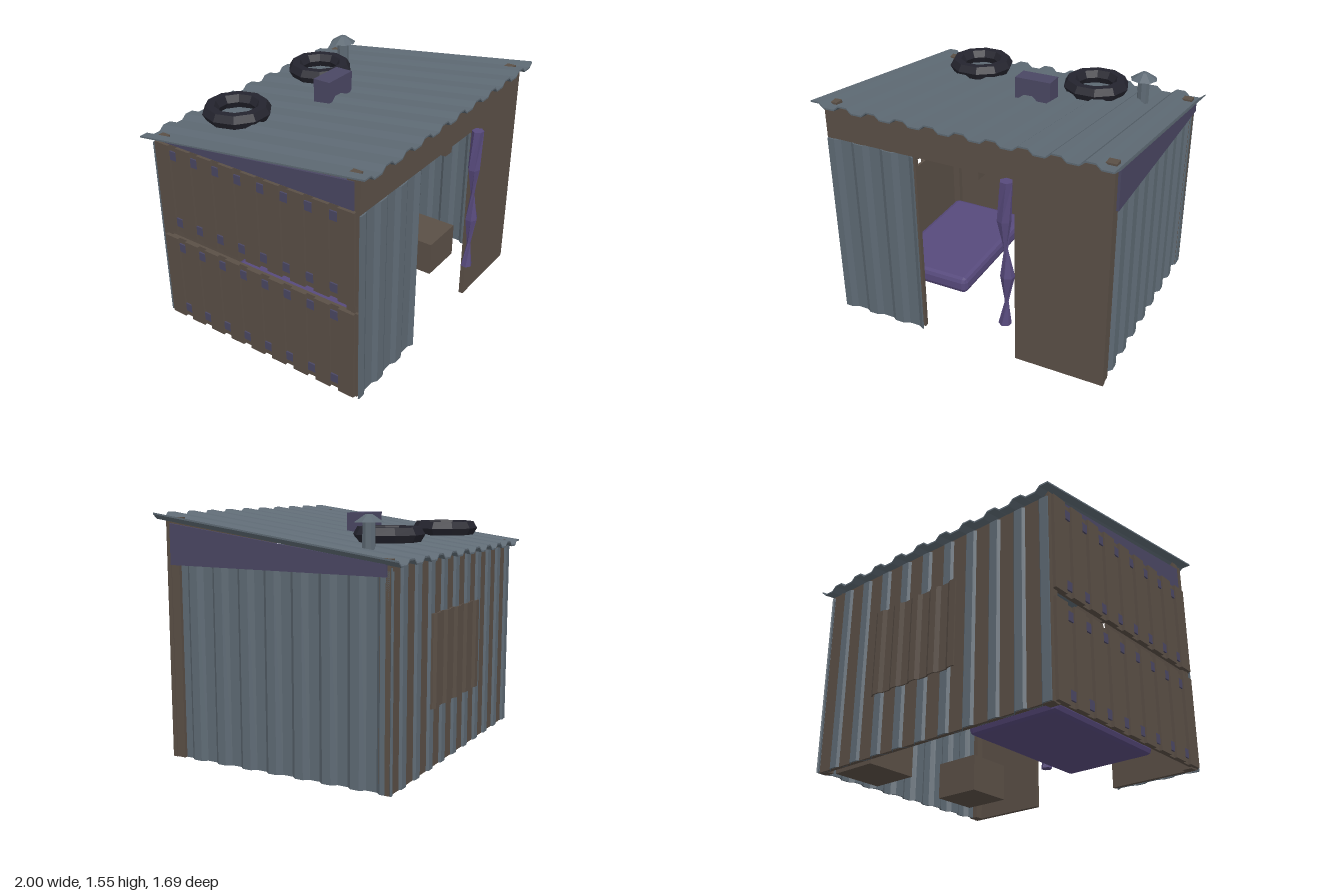
import * as THREE from 'three';
import { RoundedBoxGeometry } from 'three/addons/geometries/RoundedBoxGeometry.js';

const mat = (name, color) => {
  const m = new THREE.MeshStandardMaterial({ color });
  m.name = name;
  return m;
};

// Flat facets for the low-poly look
const faceted = (geo) => {
  const g = geo.index ? geo.toNonIndexed() : geo;
  g.computeVertexNormals();
  return g;
};

// Corrugated sheet: rib profile across x, ribs rising in +y, extruded along z
function corrugated(width, length, depth, period, phase, thick = 0.01) {
  const height = (x) => {
    const u = ((((x - phase) / period) % 1) + 1) % 1;
    if (u < 0.3) return depth;
    if (u < 0.46) return depth * (0.46 - u) / 0.16;
    if (u < 0.82) return 0;
    return depth * (u - 0.82) / 0.18;
  };
  const half = width / 2;
  const xs = [-half];
  for (let k = Math.floor((-half - phase) / period); k * period + phase < half; k++) {
    for (const u of [0, 0.3, 0.46, 0.82]) {
      const x = phase + (k + u) * period;
      if (x > -half + 0.001 && x < half - 0.001) xs.push(x);
    }
  }
  xs.push(half);
  const top = xs.map((x) => new THREE.Vector2(x, height(x)));
  const under = top.map((p) => new THREE.Vector2(p.x, p.y - thick)).reverse();
  return new THREE.ExtrudeGeometry(new THREE.Shape([...top, ...under]), { depth: length, bevelEnabled: false });
}

// Same sheet standing upright, ribs facing -z
const wallSheet = (...args) => corrugated(...args).rotateX(-Math.PI / 2);

export function createModel() {
  const steel = mat('steel', 0x5e6a74);
  const wood = mat('wood', 0x5a4f46);
  const slate = mat('slate', 0x4a4763);
  const fabric = mat('purple fabric', 0x574a7c);
  const rubber = mat('rubber', 0x24242e);

  const root = new THREE.Group();
  root.name = 'shack';
  const add = (name, geo, material, x = 0, y = 0, z = 0) => {
    const m = new THREE.Mesh(geo, material);
    m.name = name;
    m.position.set(x, y, z);
    root.add(m);
    return m;
  };
  // Box given by its limits
  const box = (name, material, x0, x1, y0, y1, z0, z1) =>
    add(name, new THREE.BoxGeometry(x1 - x0, y1 - y0, z1 - z0), material,
      (x0 + x1) / 2, (y0 + y1) / 2, (z0 + z1) / 2);

  // Sloping roof: sheet sheared upward towards the front
  const slope = 0.135;
  const roof = corrugated(2, 1.67, 0.03, 0.2, -1).translate(0, 0, -0.84);
  const p = roof.attributes.position;
  for (let i = 0; i < p.count; i++) p.setY(i, p.getY(i) + 1.408 + slope * p.getZ(i));
  add('roof', faceted(roof), steel);

  // Corner posts poking through the roof
  for (const s of [-1, 1]) {
    const x0 = s > 0 ? 0.88 : -0.945;
    box('frontPost', wood, x0, x0 + 0.065, 0, 1.52, 0.68, 0.74);
    box('backPost', wood, x0, x0 + 0.065, 0, 1.325, -0.76, -0.7);
  }

  // Front wall around the doorway
  box('frontPanelRight', wood, 0.35, 0.95, 0, 1.29, 0.74, 0.77);
  box('frontPanelLeft', wood, -0.95, -0.33, 0, 1.29, 0.715, 0.742);
  box('lintel', wood, -0.95, 0.95, 1.29, 1.505, 0.74, 0.77);
  add('frontSheet', wallSheet(0.62, 1.285, 0.02, 0.21, 0.051).rotateY(Math.PI), steel, -0.64, 0, 0.756);
  box('roofBeam', wood, 0.025, 0.1, 1.22, 1.29, -0.74, 0.74);

  // Right wall
  add('rightWall', wallSheet(1.47, 1.26, 0.025, 0.187, 0.59).rotateY(-Math.PI / 2), steel, 0.925, 0, -0.045);

  // Back wall: boards with steel ribs showing through, and a wavy wooden patch
  box('backWall', wood, -0.95, 0.95, 0, 1.29, -0.77, -0.74);
  add('backRibs', wallSheet(1.9, 1.28, 0.03, 0.19, -0.95), steel, 0, 0, -0.754);
  add('backPatch', wallSheet(0.72, 0.58, 0.015, 0.16, -0.36), wood, 0.09, 0.39, -0.803);

  // Left wall: two tiers of slats over backing boards and rails
  for (const y0 of [0.01, 0.685]) {
    const y1 = y0 + 0.62;
    box('leftBacking', wood, -0.95, -0.932, y0, y1, -0.76, 0.76);
    for (const y of [y0 + 0.04, y1 - 0.1])
      box('leftRail', slate, -0.96, -0.945, y, y + 0.06, -0.74, 0.74);
    for (let i = 0; i < 9; i++) {
      const z = -0.69 + i * 0.1725;
      box('leftSlat', wood, -0.97, -0.95, y0, y1, z - 0.055, z + 0.055);
    }
  }

  // Gables under the roof slope
  const gable = new THREE.Shape();
  gable.moveTo(-0.75, 1.23);
  gable.lineTo(0.73, 1.23);
  gable.lineTo(0.73, 1.485);
  gable.lineTo(-0.75, 1.3);
  for (const [name, x] of [['rightGable', 0.968], ['leftGable', -0.933]]) {
    const g = new THREE.ExtrudeGeometry(gable, { depth: 0.016, bevelEnabled: false });
    add(name, g.rotateY(-Math.PI / 2), slate, x, 0, 0);
  }

  // Tyres and block weighing down the roof
  for (const x of [-0.52, 0.35]) {
    const tyre = new THREE.TorusGeometry(0.17, 0.052, 6, 10).rotateX(-Math.PI / 2);
    add('tyre', faceted(tyre), rubber, x, 1.422, -0.46);
  }
  box('roofBlock', slate, -0.065, 0.185, 1.38, 1.54, -0.2, -0.075);

  // Stove with its pipe and rain cap
  box('stove', wood, 0.54, 0.87, 0, 0.3, -0.69, -0.33);
  add('stovePipe', faceted(new THREE.CylinderGeometry(0.04, 0.04, 1.22, 8)), steel, 0.67, 0.9, -0.49);
  add('pipeCap', faceted(new THREE.CylinderGeometry(0.022, 0.09, 0.045, 8)), steel, 0.67, 1.53, -0.49);

  // Furniture
  add('mattress', faceted(new RoundedBoxGeometry(0.63, 0.12, 0.99, 1, 0.035)), fabric, -0.575, 0.06, -0.175);
  box('crate', wood, 0.42, 0.75, 0, 0.25, 0.14, 0.46);

  // Twisted curtain: cross-sections [y, radius, centre x, turn]
  const sections = [
    [0.29, 0.042, 0.3, 0.4], [0.46, 0.014, 0.312, 0.9], [0.65, 0.046, 0.32, 1.5],
    [0.84, 0.014, 0.31, 2.1], [1.035, 0.045, 0.3, 2.7], [1.3, 0.042, 0.316, 3],
  ];
  const n = 6, verts = [], index = [];
  for (const [y, r, cx, turn] of sections) {
    for (let i = 0; i < n; i++) {
      const a = turn + (i / n) * Math.PI * 2;
      verts.push(cx + r * Math.cos(a), y, 0.805 - r * 0.9 * Math.sin(a));
    }
  }
  for (let s = 0; s < sections.length - 1; s++) {
    for (let i = 0; i < n; i++) {
      const a = s * n + i, b = s * n + (i + 1) % n;
      index.push(a, b, b + n, a, b + n, a + n);
    }
  }
  const last = (sections.length - 1) * n;
  for (let i = 1; i < n - 1; i++) index.push(0, i + 1, i, last, last + i, last + i + 1);
  const curtain = new THREE.BufferGeometry();
  curtain.setAttribute('position', new THREE.Float32BufferAttribute(verts, 3));
  curtain.setIndex(index);
  add('curtain', faceted(curtain), fabric);

  return root;
}
